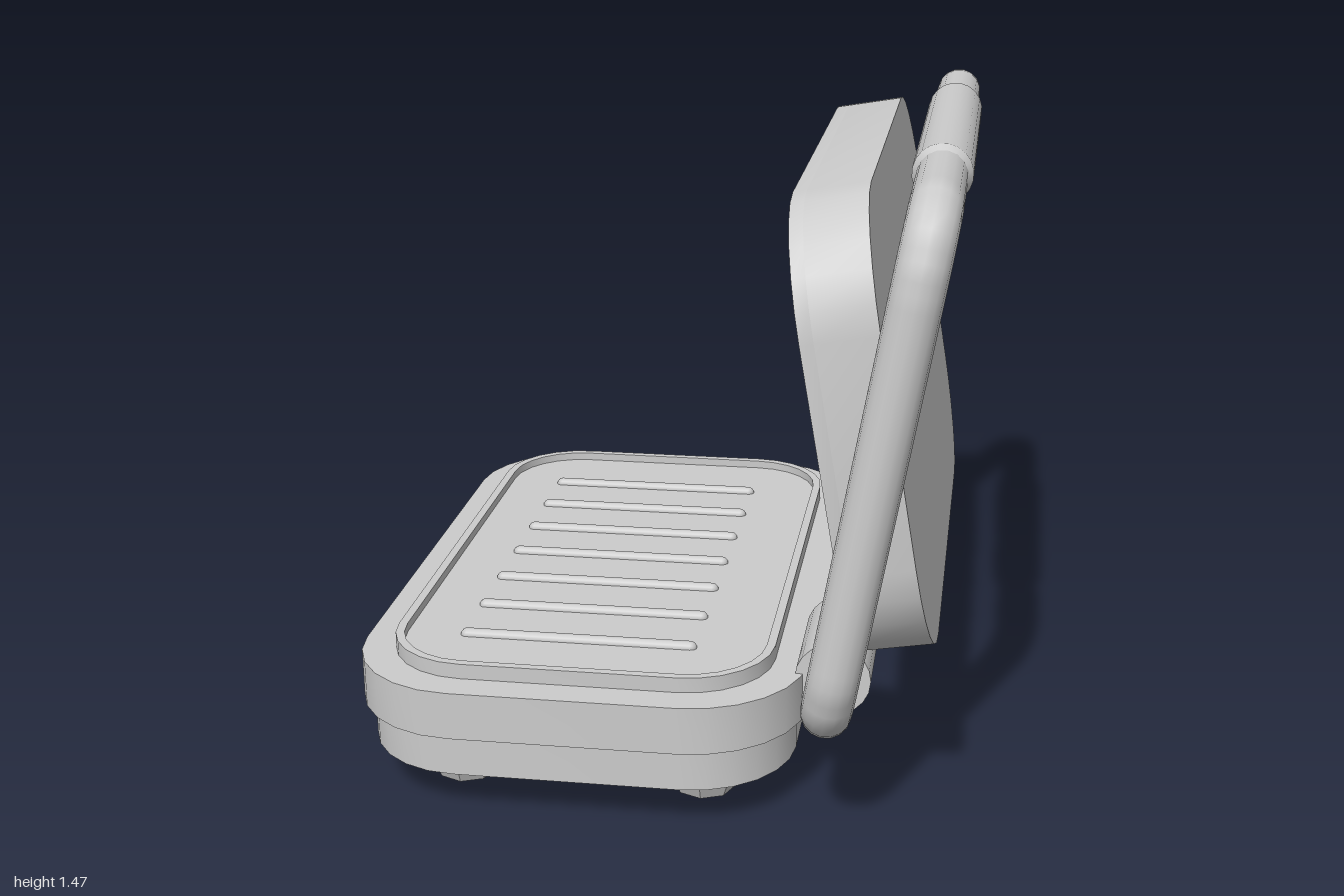
import * as THREE from 'three';
import { toCreasedNormals } from 'three/addons/utils/BufferGeometryUtils.js';

const W = 1.57, D = 1.025, R = 0.26; // plate width, depth and corner radius
const grey = new THREE.MeshStandardMaterial({ color: 0xcccccc });
const greyFlat = new THREE.MeshStandardMaterial({ color: 0xcccccc, flatShading: true });

function add(parent, name, geometry, material = grey) {
  const mesh = new THREE.Mesh(geometry, material);
  mesh.name = name;
  parent.add(mesh);
  return mesh;
}

// Rounded rectangle shrunk by an inset, its corners made of three segments
function outline(inset, radius, Type = THREE.Shape) {
  const x = W / 2 - inset - radius, y = D / 2 - inset - radius;
  const s = new Type();
  s.absarc(x, y, radius, 0, Math.PI / 2);
  s.absarc(-x, y, radius, Math.PI / 2, Math.PI);
  s.absarc(-x, -y, radius, Math.PI, Math.PI * 1.5);
  s.absarc(x, -y, radius, Math.PI * 1.5, Math.PI * 2);
  s.closePath();
  return s;
}

// Slab between z0 and z1, optionally with a hole in it
function slab(shape, z0, z1, hole) {
  if (hole) shape.holes.push(hole);
  const g = new THREE.ExtrudeGeometry(shape, { depth: z1 - z0, bevelEnabled: false, curveSegments: 3 });
  g.translate(0, 0, z0);
  return toCreasedNormals(g, 0.7);
}

// Seven grill ribs lying on a cooking plate
function addRibs(parent, y, z) {
  for (let i = -3; i <= 3; i++) {
    add(parent, 'grillRib', new THREE.CapsuleGeometry(0.015, 0.52, 4, 10)).position.set(i * 0.167 + 0.01, y, z);
  }
}

// Lower half, built with local z as height
function makeBase() {
  const base = new THREE.Group();
  base.name = 'base';
  add(base, 'lowerBody', slab(outline(0.025, R - 0.025), 0.1, 0.2));
  add(base, 'upperBody', slab(outline(0, R), 0.2, 0.31));
  add(base, 'plateFloor', slab(outline(0.085, 0.185), 0.3, 0.325));
  add(base, 'plateRim', slab(outline(0.075, 0.195), 0.3, 0.345, outline(0.095, 0.175, THREE.Path)));
  addRibs(base, -0.0175, 0.325);
  for (const x of [-0.545, 0.545]) {
    for (const y of [-0.28, 0.28]) {
      const foot = new THREE.CylinderGeometry(0.115, 0.07, 0.1, 8);
      foot.rotateX(Math.PI / 2);
      add(base, 'foot', foot, greyFlat).position.set(x, y, 0.05);
    }
  }
  base.rotation.x = -Math.PI / 2;
  base.position.z = 0.2725;
  return base;
}

// Upper half, standing open with its cooking face towards local +z
function makeLid() {
  const lid = new THREE.Group();
  lid.name = 'lid';
  add(lid, 'lidBody', slab(outline(0, R), -0.165, -0.03));
  add(lid, 'lidRim', slab(outline(0, R), -0.03, 0, outline(0.035, R - 0.035, THREE.Path)));
  addRibs(lid, 0.0175, -0.03);
  lid.rotation.x = 0.168;
  lid.position.set(0, 0.88, -0.28);
  return lid;
}

// Bent bar leaning back from the hinge, with a thicker grip on top
function makeHandle() {
  const handle = new THREE.Group();
  handle.name = 'handle';
  const H = 0.84, T = 1.125, r = 0.15;
  const corners = [[-0.5, 0], [-H, 0], [-H, T], [H, T], [H, 0], [0.5, 0]].map(([x, y]) => new THREE.Vector3(x, y, 0));
  const path = [corners[0]];
  for (let i = 1; i < 5; i++) {
    const c = corners[i];
    const toward = (p) => p.clone().sub(c).setLength(r).add(c);
    const bend = new THREE.QuadraticBezierCurve3(toward(corners[i - 1]), c, toward(corners[i + 1]));
    path.push(...bend.getPoints(6));
  }
  path.push(corners[5]);
  // straight runs joined to the sampled bends
  const curve = new THREE.CurvePath();
  for (let i = 1; i < path.length; i++) curve.add(new THREE.LineCurve3(path[i - 1], path[i]));
  add(handle, 'handleBar', new THREE.TubeGeometry(curve, 160, 0.055, 16));

  const profile = [[0.05, -0.43], [0.066, -0.405], [0.066, 0.405], [0.05, 0.43]].map(([x, y]) => new THREE.Vector2(x, y));
  const grip = toCreasedNormals(new THREE.LatheGeometry(profile, 20), 0.5);
  grip.rotateZ(Math.PI / 2);
  add(handle, 'grip', grip).position.y = T;

  handle.rotation.x = -0.178;
  handle.position.set(0, 0.3, -0.3);
  return handle;
}

export function createModel() {
  const model = new THREE.Group();
  model.name = 'sandwichPress';
  model.add(makeBase(), makeLid(), makeHandle());

  // Hinge barrels behind the base
  for (const side of [-1, 1]) {
    const barrel = new THREE.CylinderGeometry(0.085, 0.085, 0.27, 20);
    barrel.rotateZ(Math.PI / 2);
    add(model, 'hingeBarrel', barrel).position.set(side * 0.445, 0.3, -0.3);
  }

  // The whole press stands turned by an eighth
  model.rotation.y = -Math.PI / 4;
  const root = new THREE.Group();
  root.name = 'model';
  root.add(model);
  return root;
}
